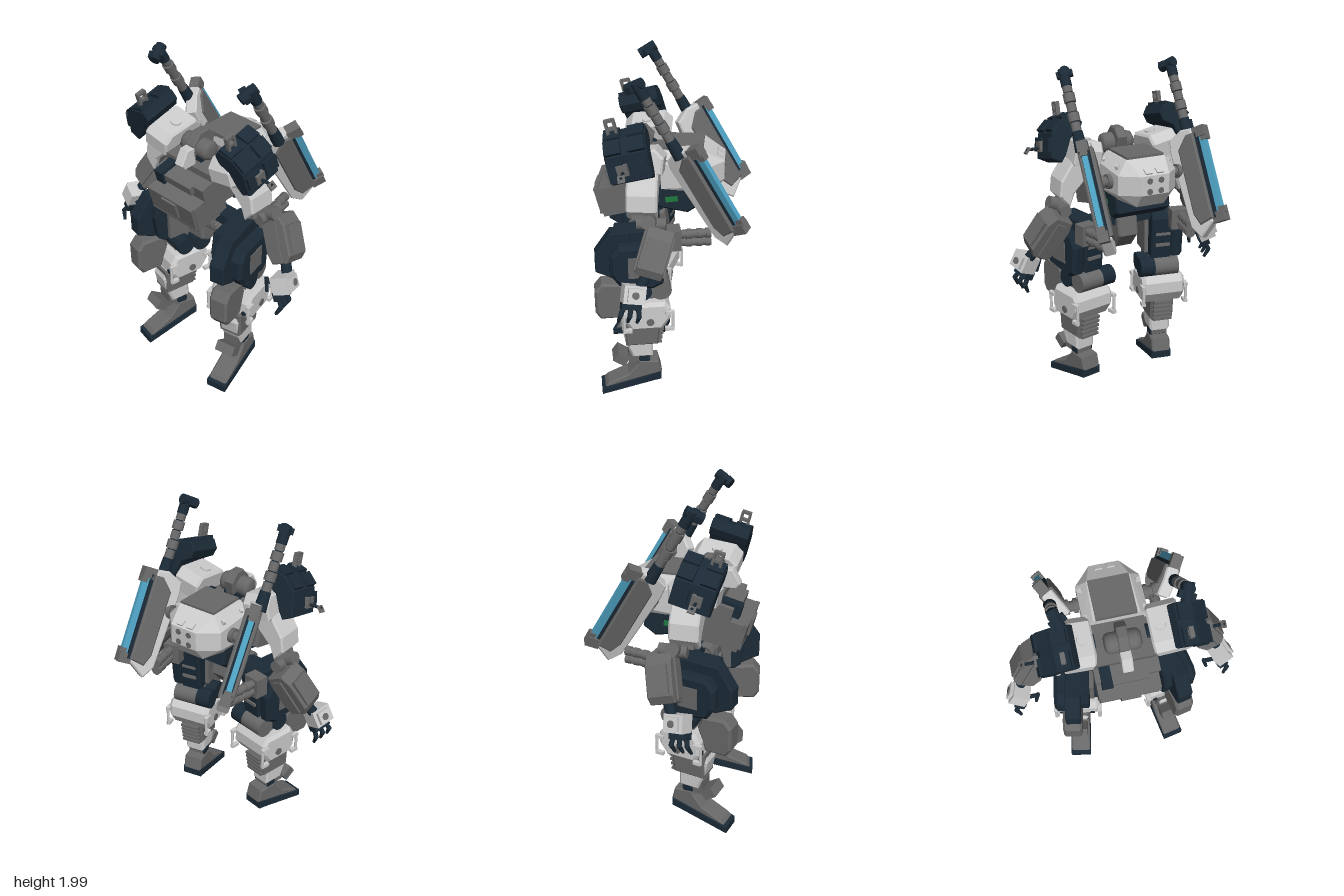
import * as THREE from 'three';
import { ConvexGeometry } from 'three/addons/geometries/ConvexGeometry.js';

const paint = (color) => new THREE.MeshStandardMaterial({ color, side: THREE.DoubleSide });
const LIGHT = paint(0xcccccc), MID = paint(0x686868), DARK = paint(0x1b2a36), BLUE = paint(0x4fa3c4), GREEN = paint(0x1f7a3f);

function add(parent, name, geo, mat, pos = [0, 0, 0], rot = [0, 0, 0]) {
  const m = new THREE.Mesh(geo, mat);
  m.name = name;
  m.position.set(...pos);
  m.rotation.set(...rot);
  parent.add(m);
  return m;
}
const box = (p, name, mat, size, pos, rot) => add(p, name, new THREE.BoxGeometry(...size), mat, pos, rot);

// Cylinder (or cone section) running between two points
function rod(p, name, mat, r, a, b, r2 = r, seg = 16) {
  const A = new THREE.Vector3(...a), B = new THREE.Vector3(...b), d = B.clone().sub(A);
  const m = add(p, name, new THREE.CylinderGeometry(r2, r, d.length(), seg), mat);
  m.position.copy(A).add(B).multiplyScalar(0.5);
  m.quaternion.setFromUnitVectors(new THREE.Vector3(0, 1, 0), d.normalize());
  return m;
}
function extrude(pts, depth, c) {
  const shape = new THREE.Shape(pts.map(([x, y]) => new THREE.Vector2(x, y)));
  return new THREE.ExtrudeGeometry(shape, { depth: depth - 2 * c, bevelEnabled: c > 0, bevelSize: c,
    bevelThickness: c, bevelOffset: -c, bevelSegments: 1 }).translate(0, 0, c);
}
// Side outline in (z, y) spanning x0..x1, and front outline in (x, y) spanning z0..z1
const side = (p, name, mat, pts, x0, x1, c = 0.012) =>
  add(p, name, extrude(pts, x1 - x0, c).rotateY(-Math.PI / 2).translate(x1, 0, 0), mat);
const front = (p, name, mat, pts, z0, z1, c = 0.012) =>
  add(p, name, extrude(pts, z1 - z0, c).translate(0, 0, z0), mat);

function group(p, name, pos = [0, 0, 0], rot = [0, 0, 0]) {
  const g = new THREE.Group();
  g.name = name;
  g.position.set(...pos);
  g.rotation.set(...rot);
  p.add(g);
  return g;
}
// Mirrored copy across x = 0 with the winding turned round
function mirror(src, name) {
  const out = new THREE.Group();
  out.name = name;
  src.updateMatrixWorld(true);
  src.traverse((o) => {
    if (!o.isMesh) return;
    const g = o.geometry.clone().applyMatrix4(o.matrixWorld).scale(-1, 1, 1);
    const idx = g.index ? Array.from(g.index.array) : [...Array(g.attributes.position.count).keys()];
    for (let i = 0; i < idx.length; i += 3) [idx[i], idx[i + 2]] = [idx[i + 2], idx[i]];
    g.setIndex(idx);
    add(out, o.name, g, o.material);
  });
  return out;
}

function buildLeg(p) {
  // Whole leg is turned outward about its own upright axis
  const yaw = 0.2, px = 0.27, pz = 0.12, c = Math.cos(yaw), s = Math.sin(yaw);
  const g = group(p, 'leg', [px - px * c - pz * s, 0, pz + px * s - pz * c], [0, yaw, 0]);
  // Foot
  side(g, 'sole', DARK, [[0.41, 0], [0.41, 0.045], [0.05, 0.14], [0.05, 0.085], [0.1, 0.075]], 0.195, 0.325, 0.004);
  side(g, 'footShell', MID, [[0.39, 0.05], [0.37, 0.075], [0.25, 0.13], [0.19, 0.2], [0.18, 0.225], [0.065, 0.215], [0.045, 0.135]], 0.2, 0.32, 0.008);
  rod(g, 'ankleJoint', DARK, 0.035, [0.205, 0.24, 0.15], [0.315, 0.24, 0.15]);
  box(g, 'anklePlate', MID, [0.12, 0.06, 0.08], [0.27, 0.25, 0.29], [-0.6, 0, 0]);
  box(g, 'ankleBlock', MID, [0.1, 0.09, 0.13], [0.265, 0.27, 0.18]);
  // Shin
  side(g, 'shin', LIGHT, [[0.22, 0.26], [0.1, 0.26], [0.1, 0.42], [0.04, 0.52], [0.24, 0.56], [0.28, 0.46], [0.26, 0.36]], 0.2, 0.33);
  side(g, 'shinSide', MID, [[0.26, 0.35], [0.07, 0.35], [0.05, 0.52], [0.27, 0.52]], 0.19, 0.34);
  for (let i = 0; i < 5; i++) box(g, 'calfRib', MID, [0.12, 0.016, 0.04], [0.265, 0.36 + i * 0.03, 0.068 - i * 0.005]);
  // Knee guard
  side(g, 'kneeGuard', LIGHT, [[0.23, 0.49], [0.05, 0.49], [0, 0.56], [0, 0.63], [0.03, 0.67], [0.23, 0.67], [0.26, 0.62], [0.26, 0.54]], 0.125, 0.395, 0.02);
  for (const x of [0.125, 0.395]) {
    rod(g, 'kneePin', MID, 0.022, [x - 0.008, 0.55, 0.12], [x + 0.008, 0.55, 0.12]);
    for (const z of [-0.01, 0.27]) {
      rod(g, 'guardHandle', LIGHT, 0.009, [x, 0.49, z], [x, 0.62, z], 0.009, 8);
      for (const y of [0.5, 0.61]) box(g, 'handleMount', LIGHT, [0.025, 0.02, 0.05], [x, y, z + (z < 0 ? 0.02 : -0.02)]);
    }
  }
  for (const x of [0.17, 0.36]) rod(g, 'guardPin', DARK, 0.015, [x, 0.55, 0.25], [x, 0.55, 0.266]);
  side(g, 'kneePad', MID, [[0.27, 0.555], [0.4, 0.555], [0.43, 0.6], [0.43, 0.74], [0.39, 0.79], [0.25, 0.78], [0.22, 0.7]], 0.23, 0.345, 0.014);
  // Knee joint
  rod(g, 'kneeJoint', DARK, 0.06, [0.11, 0.73, 0.05], [0.2, 0.73, 0.05], 0.06, 20);
  rod(g, 'kneeJointOuter', MID, 0.06, [0.2, 0.73, 0.05], [0.35, 0.73, 0.05], 0.06, 20);
  rod(g, 'kneeFront', DARK, 0.055, [0.12, 0.73, 0.16], [0.36, 0.73, 0.16], 0.055, 20);
  box(g, 'kneeLink', MID, [0.14, 0.16, 0.13], [0.26, 0.72, 0.13]);
  // Thigh
  side(g, 'thigh', DARK, [[0.31, 0.82], [0.33, 0.97], [0.3, 1.1], [0.03, 1.1], [0, 1.05], [0.03, 0.79], [0.27, 0.79]], 0.18, 0.31, 0.008);
  side(g, 'thighFront', DARK, [[0.42, 0.86], [0.42, 0.97], [0.33, 1.1], [0.22, 1.1], [0.22, 0.8], [0.32, 0.81]], 0.23, 0.32, 0.006);
  side(g, 'thighPanel', DARK, [[0.29, 0.79], [0.34, 0.86], [0.34, 0.98], [0.29, 1.04], [0.06, 1.04], [0.02, 0.96], [0.04, 0.79], [0.1, 0.76]], 0.3, 0.385, 0.02);
  box(g, 'thighSidePlate', MID, [0.01, 0.13, 0.12], [0.385, 0.91, 0.18]);
  box(g, 'thighInner', MID, [0.03, 0.22, 0.16], [0.17, 0.92, 0.17]);
  for (const y of [0.88, 0.95, 1.02]) box(g, 'thighVent', MID, [0.09, 0.018, 0.02], [0.25, y, 0.018]);
  // Rear thrusters
  box(g, 'thrusterMount', MID, [0.1, 0.12, 0.08], [0.33, 1.06, -0.02]);
  for (const y of [1.035, 1.085]) {
    rod(g, 'thruster', MID, 0.024, [0.34, y, 0.02], [0.34, y, -0.22]);
    for (const z of [-0.09, -0.15, -0.2]) rod(g, 'thrusterRing', MID, 0.028, [0.34, y, z], [0.34, y, z - 0.03]);
  }
}

function buildArm(p) {
  // Shoulder and upper arm
  const sh = group(p, 'shoulder', [0.245, 1.49, 0.155], [0.12, 0, 0.2]);
  side(sh, 'shoulderCap', LIGHT, [[0.14, -0.05], [0.14, 0.03], [0.09, 0.075], [-0.1, 0.075], [-0.14, 0.02], [-0.12, -0.07], [0.1, -0.08]], -0.085, 0.085, 0.012);
  rod(sh, 'shoulderStud', LIGHT, 0.03, [-0.02, 0.07, 0], [-0.02, 0.085, 0]);
  front(p, 'upperArm', LIGHT, [[0.2, 1.46], [0.33, 1.48], [0.41, 1.36], [0.42, 1.27], [0.36, 1.2], [0.33, 1.28], [0.25, 1.36]], 0.05, 0.22, 0.01);
  box(p, 'upperArmStrip', MID, [0.05, 0.2, 0.1], [0.345, 1.3, 0.14], [0, 0, 0.35]);
  rod(p, 'shoulderAxle', DARK, 0.05, [0.14, 1.42, 0.14], [0.26, 1.42, 0.14]);
  // Curved dark armour over the shoulder
  const pad = group(p, 'shoulderArmour', [0.35, 1.57, 0.2], [0.25, 0, 0]);
  front(pad, 'armourShell', DARK, [[-0.1, 0.08], [-0.07, 0.13], [0.02, 0.11], [0.09, 0.04], [0.11, -0.1], [0.05, -0.13], [0.02, -0.09], [-0.02, 0], [-0.08, 0.03]], -0.115, 0.115, 0.006);
  for (const [x, y, a] of [[-0.02, 0.125, -0.3], [0.06, 0.082, -0.75], [0.106, -0.02, -1.4]])
    for (const z of [-0.065, 0.065]) box(pad, 'armourPlate', DARK, [0.08, 0.022, 0.09], [x, y, z], [0, 0, a]);
  box(pad, 'armourSocket', MID, [0.025, 0.06, 0.06], [0.115, -0.03, 0.03]);
  rod(pad, 'sideAerial', DARK, 0.009, [0.1, -0.04, 0.03], [0.2, -0.04, 0.03], 0.009, 8);
  box(pad, 'aerialTip', MID, [0.012, 0.04, 0.04], [0.195, -0.045, 0.03], [0, 0, 0.7]);
  for (const z of [0.035, 0.08]) box(pad, 'loopPost', MID, [0.025, 0.09, 0.014], [-0.02, 0.16, z]);
  for (const y of [0.16, 0.205]) box(pad, 'loopBar', MID, [0.025, 0.016, 0.055], [-0.02, y, 0.058]);
  // Elbow and forearm
  rod(p, 'elbow', MID, 0.04, [0.37, 1.2, 0.09], [0.48, 1.24, 0.09]);
  rod(p, 'elbowCrossPin', MID, 0.035, [0.41, 1.2, 0], [0.41, 1.2, 0.16]);
  const f = group(p, 'forearm', [0.5, 1.075, 0.055], [-0.28, 0, 0.5]);
  front(f, 'forearmShell', MID, [[-0.06, 0.13], [0.05, 0.13], [0.08, 0.07], [0.085, -0.1], [0.05, -0.14], [-0.05, -0.14], [-0.075, -0.08], [-0.075, 0.07]], -0.075, 0.075, 0.006);
  box(f, 'forearmPlate', MID, [0.02, 0.16, 0.11], [0.088, -0.01, 0]);
  for (const z of [-0.078, 0.078]) box(f, 'forearmRail', MID, [0.06, 0.22, 0.015], [0, -0.01, z]);
  rod(f, 'wrist', DARK, 0.03, [0, -0.13, 0.01], [0, -0.2, 0.02]);
  // Hand
  const h = group(p, 'hand', [0.6, 0.87, 0.165], [-0.2, 0.25, 0.45]);
  box(h, 'handBack', LIGHT, [0.1, 0.1, 0.12], [0.01, 0, 0]);
  box(h, 'handGuard', LIGHT, [0.03, 0.075, 0.08], [0.065, 0, 0]);
  rod(h, 'knucklePin', MID, 0.02, [0.07, 0, 0], [0.085, 0, 0]);
  box(h, 'palm', DARK, [0.06, 0.05, 0.11], [-0.02, -0.065, 0]);
  for (const z of [-0.04, 0, 0.04]) {
    rod(h, 'finger', DARK, 0.014, [-0.02, -0.07, z], [-0.015, -0.13, z * 1.3], 0.014, 8);
    rod(h, 'fingerTip', DARK, 0.014, [-0.015, -0.125, z * 1.3], [-0.06, -0.165, z * 1.3], 0.009, 8);
  }
  rod(h, 'thumb', DARK, 0.013, [-0.04, -0.01, 0.01], [-0.09, 0.02, 0], 0.013, 8);
  rod(h, 'thumbTip', DARK, 0.013, [-0.09, 0.035, 0], [-0.11, -0.05, 0], 0.01, 8);
}

function buildBlade(p) {
  rod(p, 'bladeMount', MID, 0.03, [0.15, 1.38, -0.11], [0.3, 1.38, -0.11]);
  for (const x of [0.185, 0.235]) rod(p, 'mountRing', MID, 0.042, [x, 1.38, -0.11], [x + 0.025, 1.38, -0.11]);
  const g = group(p, 'blade', [0.325, 1.36, -0.22], [0.52, -0.5, 0]);
  side(g, 'bladeBody', LIGHT, [[0.13, 0.18], [0.12, 0.25], [0.03, 0.29], [-0.04, 0.28], [-0.04, -0.27], [0.06, -0.34], [0.11, -0.27]], -0.035, 0.035, 0.008);
  side(g, 'bladePanel', MID, [[0.07, 0.18], [0, 0.25], [-0.05, 0.25], [-0.05, -0.25], [0.04, -0.27], [0.07, -0.2]], -0.045, 0.045, 0.008);
  box(g, 'energyEdge', BLUE, [0.03, 0.46, 0.04], [0.005, 0, -0.085]);
  box(g, 'bladeSpine', DARK, [0.05, 0.5, 0.025], [0, 0, -0.055]);
  for (const y of [-0.25, 0.25]) {
    box(g, 'edgeClip', MID, [0.06, 0.06, 0.08], [0.005, y, -0.075]);
    box(g, 'clipTip', MID, [0.04, 0.04, 0.04], [0.005, y * 0.86, -0.1]);
  }
  // Handle in stacked sections
  const x = 0.025, z = 0.02;
  rod(g, 'handleBase', DARK, 0.036, [x, 0.25, z], [x, 0.36, z], 0.03);
  for (let i = 0; i < 5; i++) rod(g, 'handleGrip', MID, 0.027 + (i % 2) * 0.006, [x, 0.36 + i * 0.056, z], [x, 0.41 + i * 0.056, z]);
  rod(g, 'handleCore', DARK, 0.022, [x, 0.34, z], [x, 0.68, z]);
  rod(g, 'pommel', DARK, 0.03, [x, 0.62, z], [x, 0.72, z]);
  rod(g, 'pommelCross', DARK, 0.03, [x - 0.01, 0.7, z - 0.03], [x + 0.01, 0.7, z + 0.07]);
  box(g, 'pommelLug', DARK, [0.09, 0.035, 0.04], [x, 0.7, z + 0.035]);
}

function buildBody(p) {
  // Pelvis and waist
  side(p, 'pelvis', MID, [[0.24, 0.92], [0.24, 1.06], [0.2, 1.1], [0.04, 1.1], [0.02, 0.98], [0.1, 0.89], [0.2, 0.89]], -0.065, 0.065);
  rod(p, 'pelvisPin', MID, 0.024, [0, 0.98, 0.23], [0, 0.98, 0.255]);
  rod(p, 'waist', DARK, 0.07, [0, 1.05, 0.12], [0, 1.25, 0.12]);
  box(p, 'hipBar', DARK, [0.44, 0.06, 0.1], [0, 1.07, 0.12]);
  for (const s of [-1, 1]) for (let i = 0; i < 4; i++)
    add(p, 'hipSpring', new THREE.TorusGeometry(0.045, 0.012, 8, 18), MID, [s * (0.06 + i * 0.02), 1.05, 0.18], [0, Math.PI / 2, 0]);
  // Cockpit
  const c = group(p, 'cockpit', [0, 1.22, 0.29], [0.25, 0, 0]);
  box(c, 'cockpitBox', MID, [0.35, 0.17, 0.22], [0, 0, 0]);
  box(c, 'cockpitPanel', MID, [0.34, 0.14, 0.02], [0, 0.01, 0.115]);
  for (const y of [-0.06, 0.085]) box(c, 'panelRail', MID, [0.34, 0.012, 0.024], [0, y, 0.115]);
  box(c, 'noseBlock', MID, [0.11, 0.1, 0.03], [0, 0.03, 0.125]);
  box(c, 'chinBlock', DARK, [0.2, 0.05, 0.16], [0, -0.1, 0]);
  box(p, 'upperChest', MID, [0.36, 0.11, 0.25], [0, 1.35, 0.22], [0.25, 0, 0]);
  box(p, 'collar', MID, [0.34, 0.05, 0.22], [0, 1.42, 0.17], [0.1, 0, 0]);
  box(p, 'chestStep', MID, [0.22, 0.05, 0.05], [0, 1.35, 0.35], [0.25, 0, 0]);
  box(p, 'chestSensor', DARK, [0.06, 0.08, 0.14], [-0.12, 1.36, 0.32], [0.25, 0, 0]);
  box(p, 'torsoCore', MID, [0.3, 0.26, 0.2], [0, 1.32, 0.08]);
  // Rounded head with crest
  add(p, 'head', new THREE.LatheGeometry([[0, -0.1], [0.035, -0.1], [0.052, -0.09], [0.058, -0.07], [0.058, 0.07], [0.052, 0.09], [0.035, 0.1], [0, 0.1]]
    .map(([r, y]) => new THREE.Vector2(r, y)), 20), MID, [0, 1.515, 0.195], [0, 0, Math.PI / 2]);
  side(p, 'headCrest', MID, [[0.12, 1.48], [0.1, 1.56], [0.15, 1.61], [0.21, 1.61], [0.265, 1.55], [0.27, 1.48]], -0.03, 0.03, 0.006);
  side(p, 'visor', LIGHT, [[0.25, 1.54], [0.31, 1.54], [0.355, 1.46], [0.33, 1.43], [0.25, 1.43]], -0.03, 0.03, 0.005);
  box(p, 'neck', DARK, [0.1, 0.06, 0.1], [0, 1.46, 0.18]);
  // Faceted back hull
  const pts = [];
  for (const s of [-1, 1]) for (const [x, y, z] of [[0.13, 1.51, 0.05], [0.12, 1.51, -0.18], [0.18, 1.45, 0.05], [0.18, 1.43, -0.2],
    [0.085, 1.44, -0.3], [0.085, 1.33, -0.3], [0.18, 1.32, -0.2], [0.18, 1.3, 0.05], [0.16, 1.28, -0.15], [0.085, 1.25, -0.24]])
    pts.push(new THREE.Vector3(s * x, y, z));
  add(p, 'backHull', new ConvexGeometry(pts), LIGHT);
  box(p, 'hullTop', MID, [0.23, 0.03, 0.23], [0, 1.508, -0.065]);
  for (const s of [-1, 1]) {
    for (const y of [1.35, 1.41]) rod(p, 'hullPort', MID, 0.017, [s * 0.035, y, -0.29], [s * 0.035, y, -0.304]);
    box(p, 'hullTopPort', LIGHT, [0.04, 0.03, 0.04], [s * 0.035, 1.45, -0.27], [-0.5, 0, 0]);
    for (const z of [-0.15, 0.01]) rod(p, 'hullRivet', LIGHT, 0.014, [s * 0.155, 1.46, z], [s * 0.165, 1.48, z]);
    box(p, 'greenLamp', GREEN, [0.012, 0.03, 0.07], [s * 0.17, 1.235, -0.01], [0.15, 0, 0]);
  }
  side(p, 'lowerHull', DARK, [[0.08, 1.18], [0.08, 1.31], [-0.15, 1.3], [-0.17, 1.2], [-0.1, 1.15]], -0.17, 0.17);
}

export function createModel() {
  const model = new THREE.Group();
  model.name = 'walkingMachine';
  buildBody(group(model, 'body'));
  const left = group(model, 'leftSide');
  buildLeg(left);
  buildArm(left);
  buildBlade(left);
  model.add(mirror(left, 'rightSide'));
  return model;
}
